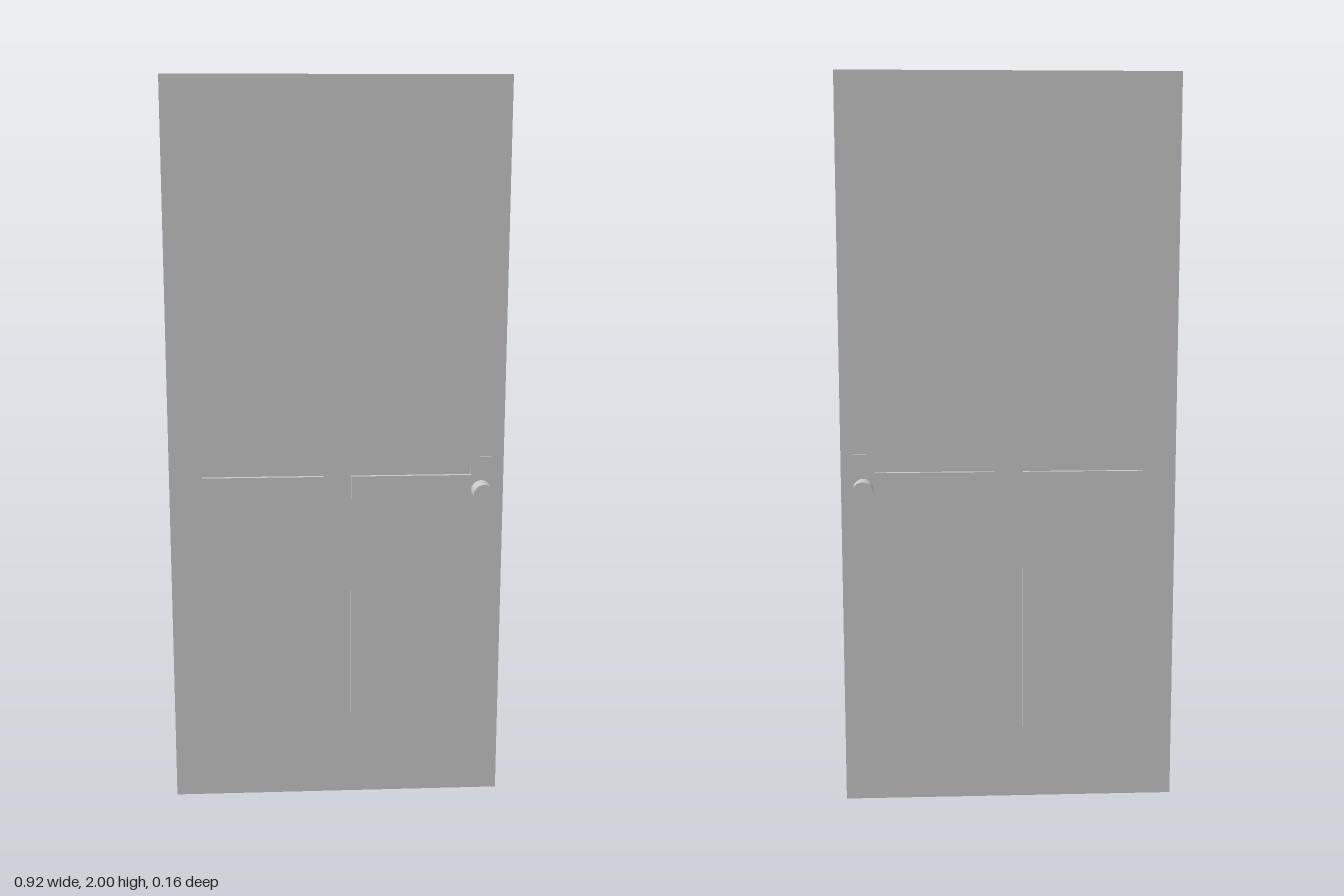
import * as THREE from 'three';

export function createModel() {
  const door = new THREE.Group();
  door.name = 'door';
  const grey = new THREE.MeshStandardMaterial({ color: 0xc8c8c8 });
  grey.name = 'light grey';

  function add(name, geometry, x, y, z) {
    const mesh = new THREE.Mesh(geometry, grey);
    mesh.name = name;
    mesh.position.set(x, y, z);
    door.add(mesh);
    return mesh;
  }

  // Door slab
  add('slab', new THREE.BoxGeometry(0.916, 2, 0.042), 0, 1, 0);

  // Same fittings on both faces
  for (const side of [1, -1]) {
    const face = side > 0 ? 'front' : 'back';

    // Two raised lower panels
    for (const x of [-0.203, 0.203]) {
      add(face + (x > 0 ? 'LeftPanel' : 'RightPanel'),
        new THREE.BoxGeometry(0.33, 0.848, 0.014), x, 0.511, side * 0.026);
    }

    // Thin lock plate and cylindrical knob
    add(face + 'LockPlate', new THREE.BoxGeometry(0.057, 0.187, 0.006), 0.396, 0.891, side * 0.022);
    const knob = add(face + 'Knob', new THREE.CylinderGeometry(0.028, 0.028, 0.058, 32),
      0.397, 0.89, side * 0.049);
    knob.rotation.x = side * Math.PI / 2;
  }
  return door;
}
